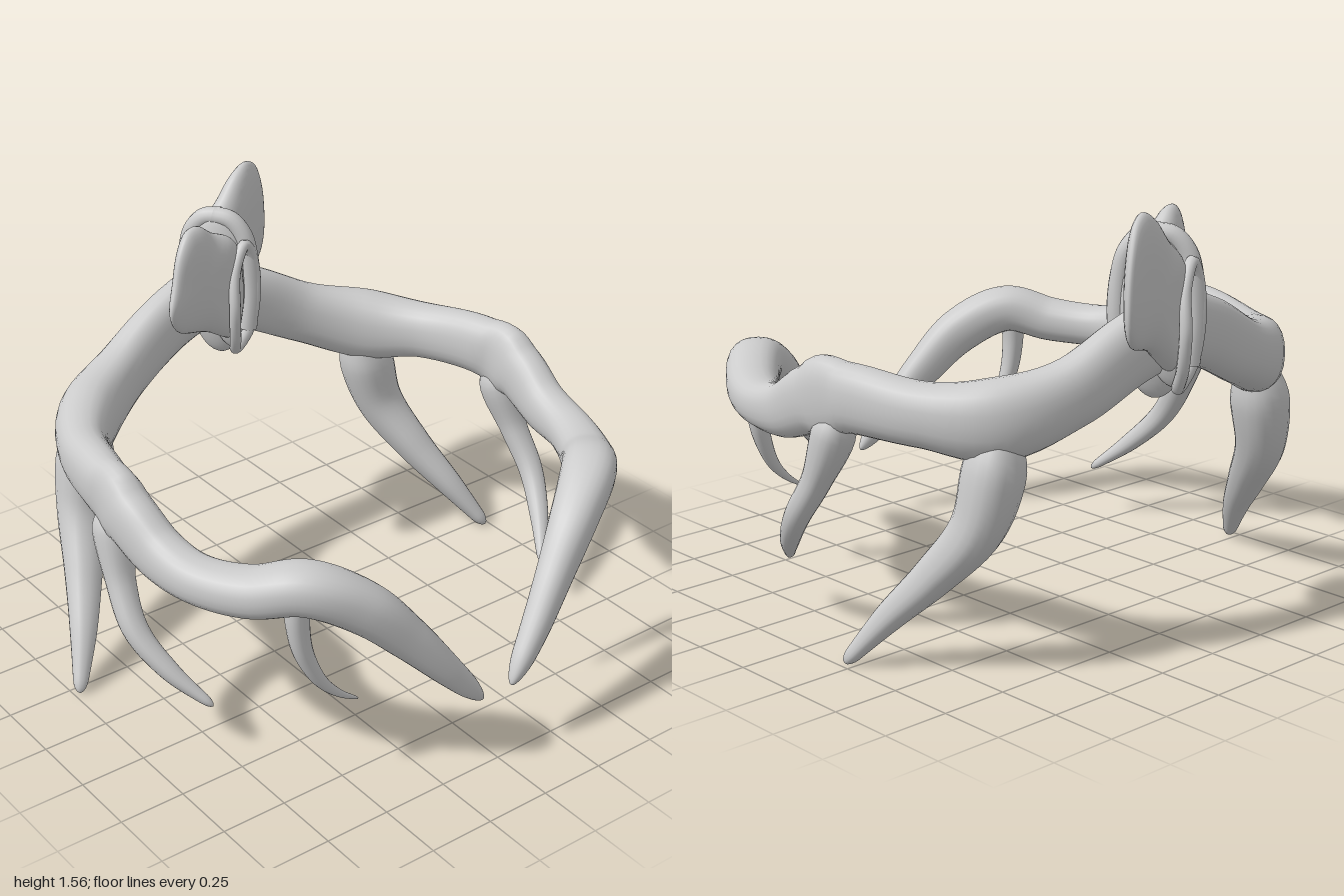
import * as THREE from 'three';

const V = (x, y, z) => new THREE.Vector3(x, y, z);
const material = new THREE.MeshStandardMaterial({ color: 0xcccccc, side: THREE.DoubleSide });

function addMesh(parent, name, geometry) {
  const mesh = new THREE.Mesh(geometry, material);
  mesh.name = name;
  parent.add(mesh);
  return mesh;
}

// Smooth skin over a list of closed rings
function loft(rings) {
  const n = rings[0].length, index = [];
  for (let i = 0; i < rings.length - 1; i++) {
    for (let j = 0; j < n; j++) {
      const a = i * n + j, b = i * n + (j + 1) % n;
      index.push(a, b, a + n, b, b + n, a + n);
    }
  }
  const geometry = new THREE.BufferGeometry().setFromPoints(rings.flat());
  geometry.setIndex(index);
  geometry.computeVertexNormals();
  return geometry;
}

// Slightly squared circle coordinate
const squared = v => Math.sign(v) * Math.abs(v) ** 0.87;

// Tapering limb: each point is [x, y, z, width radius, height radius]
function limb(points, side, ref, steps, sides = 24) {
  const path = new THREE.CatmullRomCurve3(points.map(p => V(p[0] * side, p[1], p[2])));
  const size = new THREE.CatmullRomCurve3(points.map(p => V(p[3], p[4] ?? p[3], 0)));
  const rings = [];
  for (let i = 0; i <= steps; i++) {
    // steps crowd together towards the tip so that it rounds off
    const t = 1 - Math.pow(1 - i / steps, 1.4);
    const c = path.getPoint(t), r = size.getPoint(t), T = path.getTangent(t);
    const A = T.clone().cross(ref).normalize();
    const B = T.clone().cross(A);
    const k = t > 0.96 ? Math.sqrt(Math.max(1e-6, 1 - ((t - 0.96) / 0.04) ** 2)) : 1;
    rings.push(Array.from({ length: sides }, (_, j) => {
      const a = j / sides * Math.PI * 2;
      return c.clone().addScaledVector(A, squared(Math.cos(a)) * r.x * k)
        .addScaledVector(B, squared(Math.sin(a)) * r.y * k);
    }));
  }
  return loft(rings);
}

// Rounded plate inside a closed outline of [distance from axis, height], curling outwards
function wing(outline) {
  const curve = new THREE.CatmullRomCurve3(outline.map(([d, y]) => V(-d, y, 0)), true);
  const edge = curve.getPoints(48).slice(0, 48);
  const c = V(-0.19, 1.28, 0), rings = [];
  for (let i = 0; i <= 20; i++) {
    const a = (i / 20 - 0.5) * Math.PI;
    rings.push(edge.map(p => {
      const q = c.clone().lerp(p, Math.max(Math.cos(a), 1e-6) ** 0.75);
      // thicker towards the axis
      q.z = 0.095 + 0.9 * q.x * q.x + (0.085 + 0.12 * q.x) * Math.sin(a);
      return q;
    }));
  }
  return loft(rings);
}

// Hollow bowl stretched behind a rim
function bowl(rim, depth) {
  const edge = rim.getPoints(40).slice(0, 40);
  const c = V(0.015, 1.14, 0.15), n = V(0.4, 0, 0.92), rings = [];
  for (let i = 0; i <= 10; i++) {
    const s = Math.max(Math.cos(i / 10 * Math.PI / 2), 1e-3);
    rings.push(edge.map(p => c.clone().lerp(p, s).addScaledVector(n, -depth * Math.sqrt(1 - s * s))));
  }
  return loft(rings);
}

const armPoints = [
  [0, 1.13, -0.79, 0.08, 0.13], [0.2, 1.06, -0.765, 0.08, 0.125], [0.42, 0.95, -0.72, 0.09, 0.12],
  [0.64, 0.88, -0.605, 0.11, 0.14], [0.79, 0.885, -0.4, 0.09, 0.11], [0.87, 0.9, -0.12, 0.08, 0.12],
  [0.885, 0.865, 0.05, 0.08, 0.12], [0.87, 0.79, 0.22, 0.08, 0.1], [0.84, 0.77, 0.4, 0.085, 0.082],
  [0.75, 0.78, 0.58, 0.095, 0.085], [0.63, 0.82, 0.72, 0.1, 0.09], [0.47, 0.735, 0.825, 0.085, 0.09],
  [0.33, 0.59, 0.89, 0.065, 0.075], [0.2, 0.435, 0.94, 0.05, 0.055], [0.065, 0.275, 0.98, 0.03, 0.03],
];

const claws = {
  RearClaw: [[0.63, 0.87, -0.61, 0.06], [0.665, 0.7, -0.615, 0.105], [0.71, 0.52, -0.585, 0.09],
    [0.79, 0.34, -0.46, 0.07], [0.88, 0.18, -0.33, 0.05], [0.98, 0.005, -0.21, 0.022]],
  MiddleClaw: [[0.875, 0.87, -0.08, 0.03], [0.885, 0.76, -0.055, 0.075], [0.91, 0.59, 0.01, 0.052],
    [0.92, 0.44, 0.11, 0.045], [0.865, 0.31, 0.23, 0.035], [0.77, 0.19, 0.36, 0.014]],
  FrontClaw: [[0.65, 0.78, 0.7, 0.045], [0.65, 0.67, 0.7, 0.04], [0.63, 0.55, 0.705, 0.034],
    [0.57, 0.42, 0.72, 0.023], [0.5, 0.345, 0.73, 0.014], [0.42, 0.29, 0.735, 0.005]],
};

const wingOutlines = [
  [[-0.01, 1.37], [0.1, 1.44], [0.17, 1.49], [0.235, 1.49], [0.29, 1.43], [0.33, 1.32], [0.362, 1.21], [0.31, 1.12],
    [0.15, 1.05], [0, 0.98]],
  [[-0.01, 1.36], [0.075, 1.45], [0.15, 1.53], [0.225, 1.56], [0.29, 1.53], [0.335, 1.45], [0.36, 1.33], [0.35, 1.2],
    [0.3, 1.13], [0.17, 1.09], [0, 0.98]],
];

// Central crest: two half turns of wing, bowl, rim and spine around an upright wall
function createCrest() {
  const crest = new THREE.Group();
  crest.name = 'crest';
  crest.position.set(0.055, 0, -0.76);
  const wall = addMesh(crest, 'crestWall', new THREE.SphereGeometry(1, 32, 24));
  wall.scale.set(0.13, 0.3, 0.07);
  wall.position.y = 1.175;
  wall.rotation.y = -0.88;
  wingOutlines.forEach((outline, i) => {
    const half = new THREE.Group();
    half.name = i ? 'rearCrestHalf' : 'frontCrestHalf';
    half.rotation.y = i * Math.PI;
    crest.add(half);
    addMesh(half, 'wing', wing(outline));
    const rim = new THREE.CatmullRomCurve3([V(-0.03, 1.28, 0.155), V(-0.055, 1.14, 0.185), V(-0.035, 1, 0.155),
      V(0.005, 0.925, 0.1), V(0.06, 1, 0.11), V(0.085, 1.16, 0.12), V(0.075, 1.3, 0.115), V(0.035, 1.36, 0.125)], true);
    addMesh(half, 'bowlRim', new THREE.TubeGeometry(rim, 64, 0.022, 12, true));
    addMesh(half, 'bowlInside', bowl(rim, 0.03));
    addMesh(half, 'bowlBack', bowl(rim, 0.14));
    const spine = new THREE.CatmullRomCurve3([V(0.06, 1, 0.1), V(0.076, 1.16, 0.105), V(0.072, 1.29, 0.1),
      V(0.06, 1.38, 0.08), V(0.03, 1.435, 0.04), V(-0.01, 1.445, -0.01)]);
    addMesh(half, 'spine', new THREE.TubeGeometry(spine, 40, 0.036, 14));
  });
  return crest;
}

export function createModel() {
  const model = new THREE.Group();
  model.name = 'clawedRing';
  // Curved arms with three hanging claws each
  for (const [name, side] of [['left', 1], ['right', -1]]) {
    const arm = new THREE.Group();
    arm.name = name + 'Limb';
    addMesh(arm, name + 'Arm', limb(armPoints, side, V(0, 1, 0), 110));
    for (const [claw, points] of Object.entries(claws)) {
      addMesh(arm, name + claw, limb(points, side, V(1, 0, 0), 40, 18));
    }
    model.add(arm);
  }
  model.add(createCrest());
  return model;
}
